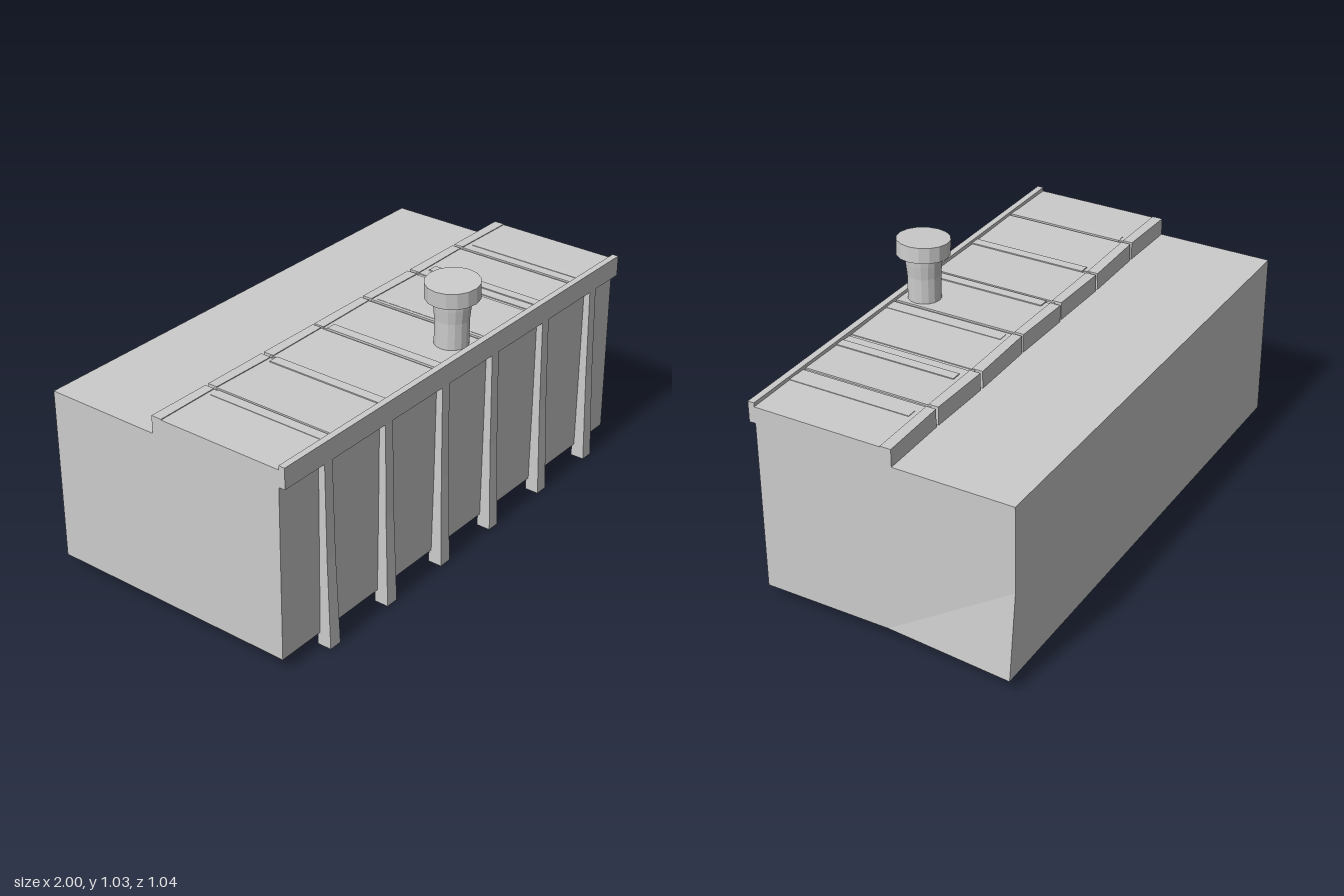
import * as THREE from 'three';

const material = new THREE.MeshStandardMaterial({ color: 0xcccccc, flatShading: true });
const X0 = -1, X1 = 0.96;

function add(parent, name, geometry) {
  const mesh = new THREE.Mesh(geometry, material);
  mesh.name = name;
  parent.add(mesh);
  return mesh;
}

// Box given by its min and max corners
function boxBetween(x0, x1, y0, y1, z0, z1, sx = 1, sy = 1, sz = 1) {
  return new THREE.BoxGeometry(x1 - x0, y1 - y0, z1 - z0, sx, sy, sz)
    .translate((x0 + x1) / 2, (y0 + y1) / 2, (z0 + z1) / 2);
}

// Moves every vertex of a geometry by a rule
function warp(geometry, rule) {
  const p = geometry.attributes.position, v = new THREE.Vector3();
  for (let i = 0; i < p.count; i++) {
    rule(v.fromBufferAttribute(p, i));
    p.setXYZ(i, v.x, v.y, v.z);
  }
  geometry.computeVertexNormals();
  return geometry;
}

export function createModel() {
  const group = new THREE.Group();
  group.name = 'shelter';

  // Main block, its lower back corner bulging out on the left side
  add(group, 'body', warp(boxBetween(X0, X1, 0.05, 0.715, -0.52, 0.48, 1, 2, 2), v => {
    if (v.x > 0 && v.y < 0.1 && v.z < -0.5) v.x += 0.04;
  }));

  // Raised front half
  add(group, 'upperBody', boxBetween(X0, X1, 0.715, 0.776, -0.02, 0.48));

  // Beam along the front edge
  add(group, 'frontBeam', boxBetween(X0, X1, 0.715, 0.795, 0.48, 0.505));

  // Posts under the beam, wider and deeper at the foot
  [-0.785, -0.467, -0.148, 0.148, 0.468, 0.788].forEach((x, i) => {
    const lean = [0.005, 0, -0.006, 0, 0, 0][i];
    const post = boxBetween(-0.02, 0.02, 0, 0.715, 0.47, 0.505, 1, 2, 1);
    add(group, 'post', warp(post, v => {
      const k = Math.max(0, 1 - v.y / 0.55);
      v.x = v.x * (1 + 0.3 * k) + x + lean * k;
      if (v.z > 0.49) v.z += 0.02 * k;
    }));
  });

  // Slightly uneven roof boards, each folding down over the back step
  const seams = [X0, -0.73, -0.44, -0.165, 0.11, 0.4, 0.68, X1];
  for (let i = 0; i < 7; i++) {
    const x0 = seams[i], x1 = seams[i + 1] - (i < 6 ? 0.014 : 0);
    const tilt = [0.003, -0.003, 0.003, 0.004, -0.004, 0.003, -0.003][i];
    const twist = v => {
      const t = (v.x - x0) / (x1 - x0) - 0.5;
      if (v.y > 0.777) v.y += tilt * t;
      if (v.z < -0.05) v.z += 0.004 * (0.5 + (tilt > 0 ? t : -t));
    };
    add(group, 'roofBoard', warp(boxBetween(x0, x1, 0.77, 0.781, -0.02, 0.48), twist));
    add(group, 'roofLip', warp(boxBetween(x0, x1, 0.715, 0.784, -0.06, -0.018), twist));
    if (i < 6) add(group, 'lipJoint', boxBetween(x1, seams[i + 1], 0.715, 0.778, -0.03, -0.018));
  }

  // Low battens across the roof
  [-0.76, -0.46, -0.148, 0.144, 0.46, 0.74].forEach(x => {
    add(group, 'roofBatten', boxBetween(x - 0.02, x + 0.02, 0.77, 0.784, 0.0, 0.48));
  });

  // Chimney: flared shaft with a crooked cap
  const chimney = new THREE.Group();
  chimney.name = 'chimney';
  chimney.position.set(0.02, 0.77, 0.405);
  group.add(chimney);
  const shaft = [[0.063, 0], [0.063, 0.11], [0.068, 0.16], [0.07, 0.2]]
    .map(([r, y]) => new THREE.Vector2(r, y));
  add(chimney, 'chimneyShaft', new THREE.LatheGeometry(shaft, 16));
  const cap = add(chimney, 'chimneyCap', new THREE.CylinderGeometry(0.1, 0.1, 0.06, 16));
  cap.position.y = 0.22;
  cap.rotation.z = 0.06;

  return group;
}
